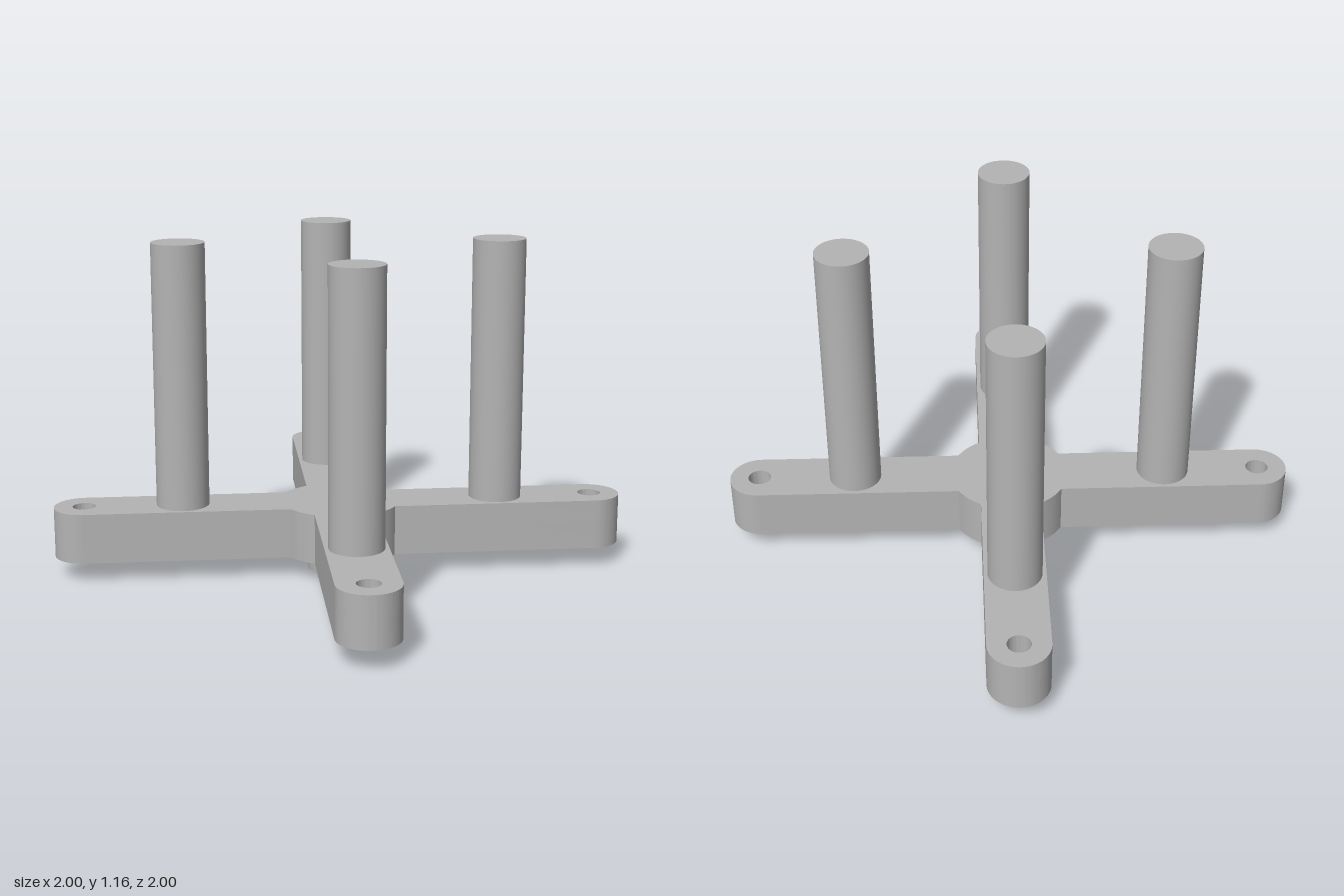
import * as THREE from 'three';
import { toCreasedNormals } from 'three/addons/utils/BufferGeometryUtils.js';

const ARM = 0.105;       // half width of an arm
const HUB = 0.21;        // hub radius
const TIP = 1 - ARM;     // centre of an arm's rounded end
const PLATE_BOTTOM = 0.07, BORE_TOP = 0.17, PLATE_TOP = 0.245;
const POST_TOP = 1.165, BORE = 0.082;

function circleHole(x, y, r) {
  const p = new THREE.Path();
  p.absarc(x, y, r, 0, Math.PI * 2, true);
  return p;
}

// Four rounded arms joined by a round hub, with a screw hole near each tip
function crossShape() {
  const s = new THREE.Shape();
  for (let i = 0; i < 4; i++) {
    const a = i * Math.PI / 2;
    const x = Math.cos(a) * TIP, y = Math.sin(a) * TIP;
    s.absarc(x, y, ARM, a - Math.PI / 2, a + Math.PI / 2, false);
    s.absarc(0, 0, HUB, a + Math.PI / 6, a + Math.PI / 3, false);
    s.holes.push(circleHole(x, y, 0.04));
  }
  return s;
}

// Upright extrusion between two heights
function slab(shape, y0, y1) {
  const g = new THREE.ExtrudeGeometry(shape, { depth: y1 - y0, bevelEnabled: false, curveSegments: 24 });
  g.rotateX(-Math.PI / 2);
  g.translate(0, y0, 0);
  return toCreasedNormals(g, 0.5);
}

export function createModel() {
  const group = new THREE.Group();
  const grey = new THREE.MeshStandardMaterial({ color: 0xb4b4b4 });
  grey.name = 'grey';
  const add = (name, geometry) => {
    const mesh = new THREE.Mesh(geometry, grey);
    mesh.name = name;
    group.add(mesh);
    return mesh;
  };

  // Cross plate: the lower layer is pierced by the blind bore
  const lower = crossShape();
  lower.holes.push(circleHole(0, 0, BORE));
  add('crossPlateLower', slab(lower, PLATE_BOTTOM, BORE_TOP));
  add('crossPlateUpper', slab(crossShape(), BORE_TOP, PLATE_TOP));

  // Hollow boss under the hub
  const ring = new THREE.Shape();
  ring.absarc(0, 0, 0.115, 0, Math.PI * 2, false);
  ring.holes.push(circleHole(0, 0, BORE));
  add('hubBoss', slab(ring, 0, PLATE_BOTTOM));

  // One post on each arm
  const height = POST_TOP - PLATE_TOP;
  const postGeometry = new THREE.CylinderGeometry(0.092, 0.092, height, 48);
  ['left', 'back', 'right', 'front'].forEach((side, i) => {
    const a = i * Math.PI / 2;
    add(side + 'Post', postGeometry)
      .position.set(Math.cos(a) * 0.552, PLATE_TOP + height / 2, -Math.sin(a) * 0.552);
  });
  return group;
}
